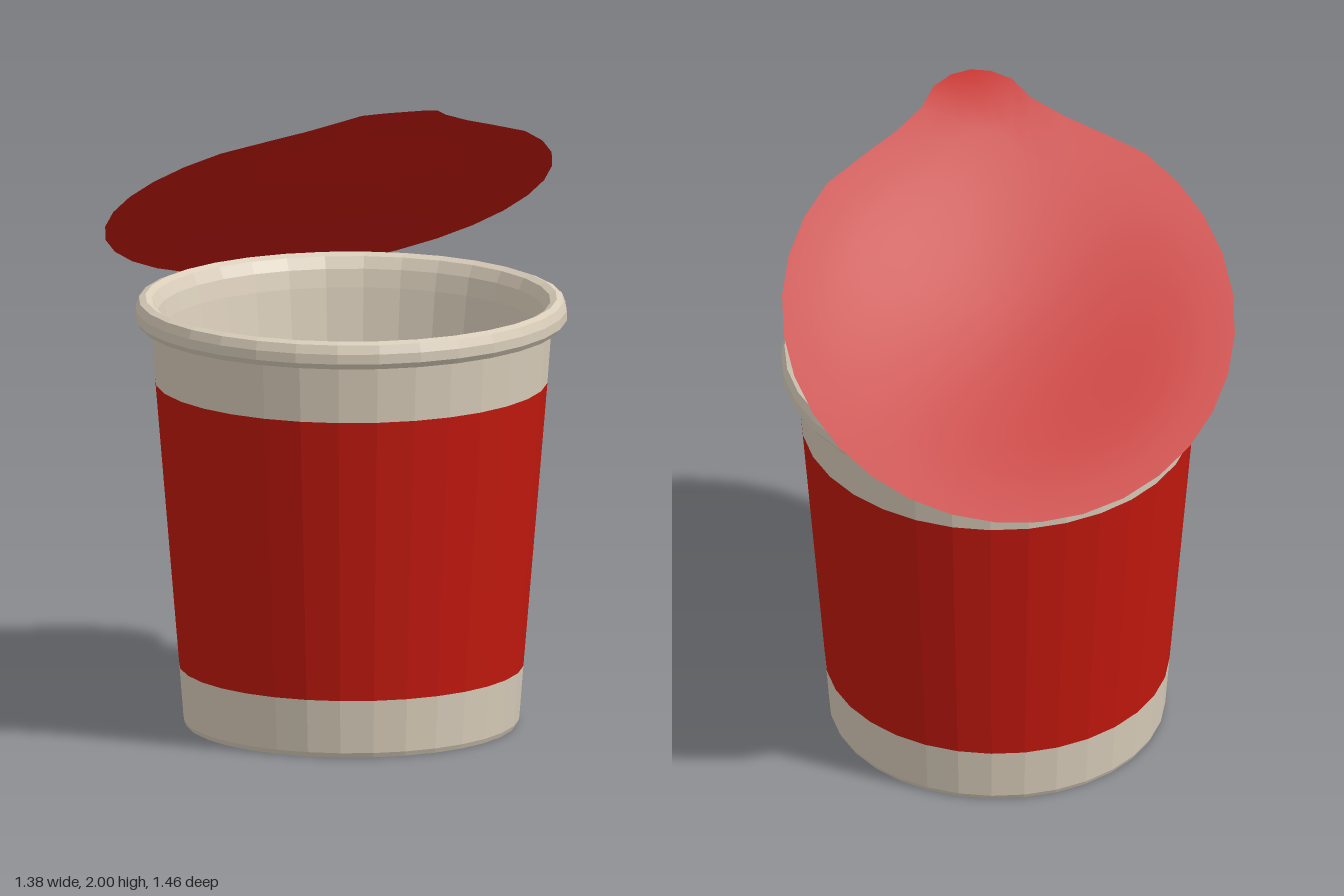
import * as THREE from 'three';

const SEG = 32, CUP_Z = 0.07, SOUP_Y = 1.0;
const mat = (color, extra = {}) => new THREE.MeshStandardMaterial({ color, ...extra });

function add(parent, name, geometry, material, x = 0, y = 0, z = 0) {
  const mesh = new THREE.Mesh(geometry, material);
  mesh.name = name;
  mesh.position.set(x, y, z);
  parent.add(mesh);
  return mesh;
}

const lathe = (pts) => new THREE.LatheGeometry(pts.map(([r, y]) => new THREE.Vector2(r, y)), SEG);

// Peeled lid: concentric rings inside an outline with a pull tab at +z
function lidGeometry() {
  const R = 0.69, RINGS = 8;
  const half = [[0, 0.825], [0.06, 0.813], [0.12, 0.776], [0.17, 0.704], [0.26, 0.634], [0.36, 0.572]];
  for (let k = 4; k <= 16; k++) {
    const a = (k * Math.PI) / 16;
    half.push([R * Math.sin(a), R * Math.cos(a)]);
  }
  const outline = [...half, ...half.slice(1, -1).reverse().map(([x, z]) => [-x, z])];
  const n = outline.length;
  const height = (x, z) => {
    const r2 = Math.min(1, (x * x + z * z) / (R * R));
    const curl = Math.max(0, z - 0.7);
    return -0.035 * (1 - r2) ** 2 - 1.4 * curl * curl;
  };
  const pos = [0, height(0, 0), 0], idx = [];
  for (let j = 1; j <= RINGS; j++) {
    for (const [ox, oz] of outline) {
      const x = (ox * j) / RINGS, z = (oz * j) / RINGS;
      pos.push(x, height(x, z), z);
    }
  }
  for (let i = 0; i < n; i++) {
    const k = (i + 1) % n;
    idx.push(0, 1 + i, 1 + k);
    for (let j = 0; j < RINGS - 1; j++) {
      const a = 1 + j * n + i, b = 1 + j * n + k;
      idx.push(a, a + n, b + n, a, b + n, b);
    }
  }
  const g = new THREE.BufferGeometry();
  g.setAttribute('position', new THREE.Float32BufferAttribute(pos, 3));
  g.setIndex(idx);
  g.computeVertexNormals();
  return g;
}

// Scalloped fish cake slice
function starGeometry(radius, points = 12) {
  const shape = new THREE.Shape();
  for (let i = 0; i < points * 2; i++) {
    const r = i % 2 ? radius * 0.76 : radius, a = (i * Math.PI) / points;
    shape[i ? 'lineTo' : 'moveTo'](r * Math.cos(a), r * Math.sin(a));
  }
  shape.closePath();
  const g = new THREE.ExtrudeGeometry(shape, { depth: 0.03, bevelEnabled: false });
  g.rotateX(-Math.PI / 2);
  return g;
}

function noodleGeometry(points) {
  const curve = new THREE.CatmullRomCurve3(points.map(([x, y, z]) => new THREE.Vector3(x, y, z)));
  return new THREE.TubeGeometry(curve, 40, 0.012, 6);
}

export function createModel() {
  const model = new THREE.Group();
  model.name = 'noodleCup';
  const cream = mat(0xd9cdba, { flatShading: true });
  const red = mat(0xc2180e, { flatShading: true });

  // Cup body: recessed base, printed band, rolled rim and inner wall
  const cup = new THREE.Group();
  cup.name = 'cup';
  cup.position.z = CUP_Z;
  model.add(cup);
  add(cup, 'base', lathe([[0, 0.05], [0.475, 0.05], [0.49, 0], [0.503, 0], [0.51, 0.015], [0.523, 0.18]]), cream);
  add(cup, 'band', lathe([[0.523, 0.18], [0.596, 1.06]]), red);
  add(cup, 'rim', lathe([
    [0.596, 1.06], [0.609, 1.24], [0.642, 1.237], [0.655, 1.255], [0.655, 1.285], [0.645, 1.312],
    [0.625, 1.32], [0.605, 1.31], [0.587, 1.275], [0.575, 1.22], [0.54, SOUP_Y - 0.02],
  ]), cream);

  // Soup surface
  const soup = add(cup, 'soup', new THREE.CircleGeometry(0.548, SEG), mat(0x773d29), 0, SOUP_Y, 0);
  soup.rotation.x = -Math.PI / 2;

  // Toppings floating in the soup
  const toppings = new THREE.Group();
  toppings.name = 'toppings';
  toppings.position.y = SOUP_Y;
  model.add(toppings);

  const pink = mat(0xd6a6d0, { flatShading: true });
  add(toppings, 'fishCake', starGeometry(0.14), pink, -0.39, 0, 0.15);
  const leaning = add(toppings, 'fishCake', starGeometry(0.14), pink, -0.34, 0.04, 0.02);
  leaning.rotation.set(0.2, 0.2, -0.2);

  const green = mat(0x158a15, { flatShading: true });
  [[-0.29, -0.18], [0.06, -0.23], [-0.01, -0.02]].forEach(([x, z], i) => {
    const onion = add(toppings, 'springOnion', new THREE.CylinderGeometry(0.035, 0.035, 0.05, 8), green, x, 0.02, z);
    onion.rotation.set(0.3, i, 0.25 - 0.3 * i);
  });

  const noodle = mat(0xb99a6a);
  [
    [[-0.23, 0, -0.05], [-0.27, 0.03, -0.17], [-0.14, 0.015, -0.24], [-0.02, 0.01, -0.21], [0.06, 0.015, -0.3], [0.08, 0, -0.41]],
    [[0.24, 0, 0.32], [0.27, 0.015, 0.4], [0.34, 0.015, 0.39], [0.38, 0.015, 0.31], [0.32, 0.02, 0.27], [0.25, 0, 0.25]],
    [[0.27, -0.01, 0.3], [0.29, 0.012, 0.37], [0.34, 0.012, 0.36], [0.35, 0.01, 0.3], [0.28, -0.01, 0.24]],
  ].forEach((pts) => add(toppings, 'noodle', noodleGeometry(pts), noodle));

  // Lid, peeled open from the front and resting on the back of the rim
  const lid = add(model, 'lid', lidGeometry(), mat(0xc2180e, { side: THREE.DoubleSide }), 0, 1.587, -0.142);
  lid.rotation.x = -Math.atan(0.614);

  return model;
}
